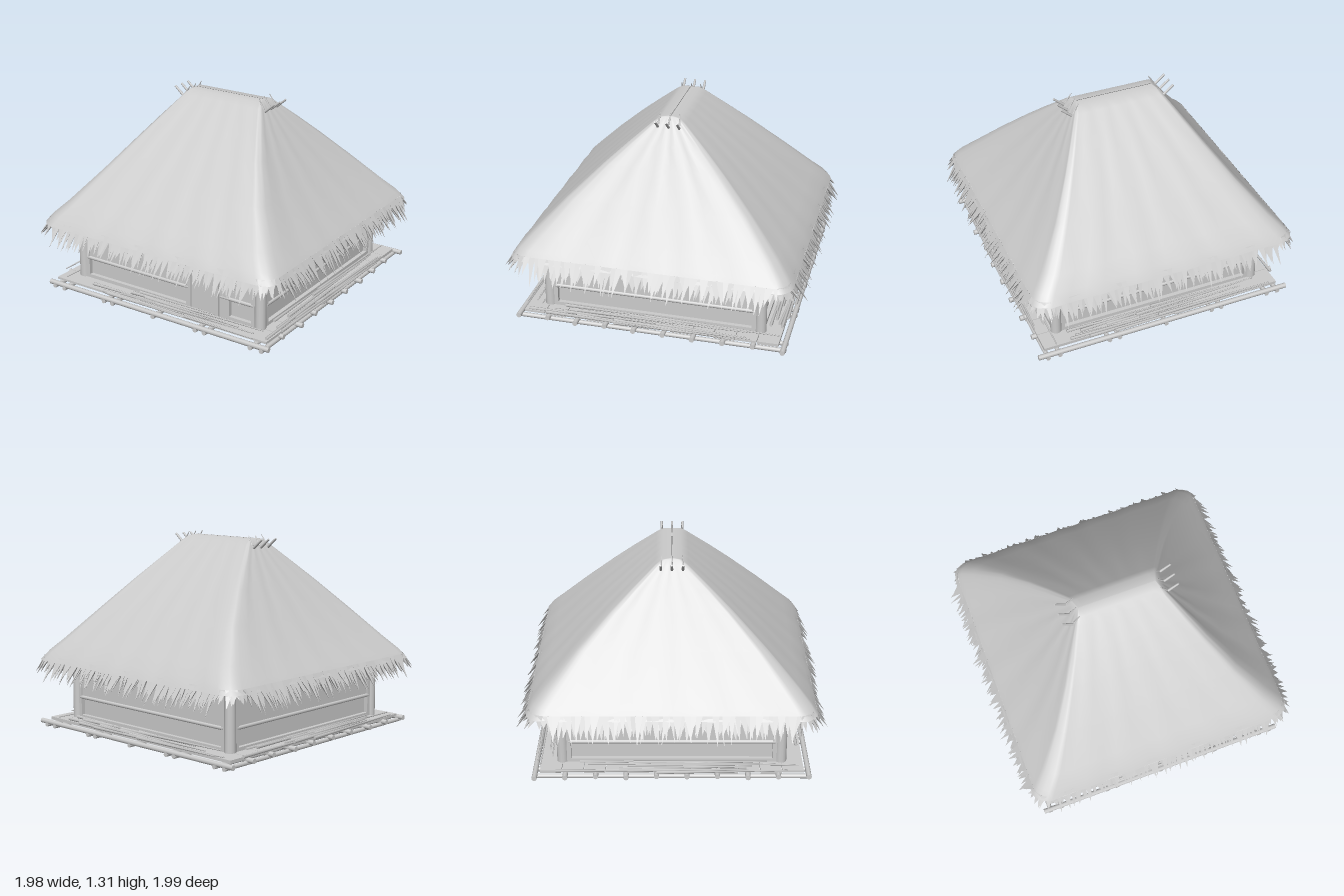
import * as THREE from 'three';

const material = new THREE.MeshStandardMaterial({ color: 0xcccccc, side: THREE.DoubleSide });
material.name = 'plain grey';

// Seeded random numbers in 0..1
let seed = 7;
function rand() {
  seed = (seed * 16807) % 2147483647;
  return seed / 2147483647;
}
const spread = (s) => (rand() - 0.5) * 2 * s;

function add(parent, name, geometry) {
  const mesh = new THREE.Mesh(geometry, material);
  mesh.name = name;
  parent.add(mesh);
  return mesh;
}

function box(parent, name, x0, x1, y0, y1, z0, z1) {
  const mesh = add(parent, name, new THREE.BoxGeometry(x1 - x0, y1 - y0, z1 - z0));
  mesh.position.set((x0 + x1) / 2, (y0 + y1) / 2, (z0 + z1) / 2);
  return mesh;
}

// Round pole between two points
function pole(parent, name, a, b, r, r2 = r, sides = 8) {
  const from = new THREE.Vector3(...a), to = new THREE.Vector3(...b);
  const dir = to.clone().sub(from);
  const mesh = add(parent, name, new THREE.CylinderGeometry(r2, r, dir.length(), sides));
  mesh.position.copy(from).add(to).multiplyScalar(0.5);
  mesh.quaternion.setFromUnitVectors(new THREE.Vector3(0, 1, 0), dir.normalize());
  return mesh;
}

// Rounded rectangle as points with outward normals
function ring(hx, hz, r, arc = 4, straight = 14) {
  const corners = [[1, 1], [-1, 1], [-1, -1], [1, -1]].map(([sx, sz], k) =>
    Array.from({ length: arc + 1 }, (_, j) => {
      const a = (k + j / arc) * Math.PI / 2;
      const nx = Math.cos(a), nz = Math.sin(a);
      return { x: sx * (hx - r) + nx * r, z: sz * (hz - r) + nz * r, nx, nz };
    }));
  const points = [];
  corners.forEach((corner, k) => {
    points.push(...corner);
    const a = corner[arc], b = corners[(k + 1) % 4][0];
    for (let j = 1; j < straight; j++) {
      const t = j / straight;
      points.push({ x: a.x + (b.x - a.x) * t, z: a.z + (b.z - a.z) * t, nx: a.nx, nz: a.nz });
    }
  });
  return points;
}

// Skin through rings given as [y, hx, hz, radius]
function loft(levels) {
  const positions = [], index = [];
  let n = 0;
  levels.forEach(([y, hx, hz, r], l) => {
    const pts = ring(hx, hz, r);
    n = pts.length;
    pts.forEach((p, i) => {
      const ripple = l > 2 ? 0.004 * Math.sin(i * 2.3 + l * 0.4) : 0;
      positions.push(p.x + p.nx * ripple, y, p.z + p.nz * ripple);
    });
    if (l === 0) return;
    for (let i = 0; i < n; i++) {
      const j = (i + 1) % n, a = (l - 1) * n, b = l * n;
      index.push(a + i, a + j, b + i, a + j, b + j, b + i);
    }
  });
  const geometry = new THREE.BufferGeometry();
  geometry.setAttribute('position', new THREE.Float32BufferAttribute(positions, 3));
  geometry.setIndex(index);
  geometry.computeVertexNormals();
  return geometry;
}

// Row of pointed straw tufts hanging from a ring; shorter at the corners
function fringe(y, h, radius, out, drop, width, thick) {
  const positions = [];
  const pts = ring(h, h, radius, 5, 46);
  for (const p of pts) {
    const atCorner = Math.min(Math.abs(p.x), Math.abs(p.z)) > h - 0.14;
    const len = (atCorner ? 0.55 : 0.85) + spread(0.2);
    const tx = -p.nz, tz = p.nx, w = width * (0.7 + 0.6 * rand());
    const lean = spread(width * 1.3), o = out * len + spread(0.012);
    const left = [p.x - tx * w, y, p.z - tz * w];
    const right = [p.x + tx * w, y, p.z + tz * w];
    const back = [p.x - p.nx * thick, y - 0.01, p.z - p.nz * thick];
    const tip = [p.x + p.nx * o + tx * lean, y - drop * len, p.z + p.nz * o + tz * lean];
    positions.push(...left, ...right, ...tip, ...right, ...back, ...tip, ...back, ...left, ...tip);
  }
  const geometry = new THREE.BufferGeometry();
  geometry.setAttribute('position', new THREE.Float32BufferAttribute(positions, 3));
  geometry.computeVertexNormals();
  return geometry;
}

function makeRoof() {
  const roof = new THREE.Group();
  roof.name = 'roof';
  add(roof, 'thatch', loft([
    [1.285, 0.26, 0.002, 0.001], [1.28, 0.28, 0.06, 0.01], [1.25, 0.305, 0.105, 0.02],
    [1.12, 0.395, 0.255, 0.03], [1.0, 0.48, 0.39, 0.04], [0.8, 0.625, 0.6, 0.06],
    [0.6, 0.785, 0.795, 0.09], [0.52, 0.86, 0.87, 0.1], [0.46, 0.905, 0.91, 0.11],
  ]));
  add(roof, 'thatch underside', loft([
    [0.46, 0.905, 0.91, 0.11], [0.47, 0.86, 0.86, 0.1], [0.56, 0.77, 0.77, 0.08], [0.66, 0.68, 0.68, 0.06],
  ]));
  // Eaves fringe in overlapping rows
  add(roof, 'outer fringe', fringe(0.49, 0.888, 0.11, 0.095, 0.155, 0.022, 0.03));
  add(roof, 'middle fringe', fringe(0.48, 0.885, 0.1, 0.075, 0.14, 0.026, 0.03));
  add(roof, 'inner fringe', fringe(0.5, 0.84, 0.1, 0.07, 0.11, 0.026, 0.02));
  add(roof, 'innermost fringe', fringe(0.58, 0.76, 0.08, 0.07, 0.1, 0.026, 0.02));

  // Crossed sticks at both ends of the ridge
  for (const s of [-1, 1]) {
    for (const z of [-0.07, 0, 0.07]) {
      pole(roof, 'ridge stick', [s * 0.3, 1.21, z], [s * 0.39, 1.285, z], 0.01, 0.007, 6);
      pole(roof, 'ridge twig', [s * 0.31, 1.24, z], [s * 0.27, 1.305, z * 0.9], 0.008, 0.002, 5);
    }
  }
  return roof;
}

function makeWalls() {
  const walls = new THREE.Group();
  walls.name = 'walls';
  box(walls, 'wall core', -0.695, 0.695, 0.06, 0.64, -0.695, 0.695);
  box(walls, 'upper wall', -0.715, 0.715, 0.21, 0.62, -0.715, 0.715);
  for (const x of [-0.7, 0.7]) {
    for (const z of [-0.7, 0.7]) pole(walls, 'corner post', [x, 0.05, z], [x, 0.6, z], 0.037, 0.035, 14);
  }
  // Rail, sill and side boards of each wall, turned to face outwards
  for (let k = 0; k < 4; k++) {
    const side = new THREE.Group();
    side.name = ['front wall', 'left wall', 'back wall', 'right wall'][k];
    side.rotation.y = k * Math.PI / 2;
    box(side, 'sill', -0.68, 0.68, 0.06, 0.085, 0.68, 0.722);
    pole(side, 'rail', [-0.66, 0.205, 0.712], [0.66, 0.205, 0.712], 0.013);
    for (const x of [-0.665, 0.665]) box(side, 'edge board', x - 0.02, x + 0.02, 0.06, 0.55, 0.68, 0.722);
    if (k === 0) {
      box(side, 'door surround', 0.15, 0.48, 0.06, 0.4, 0.68, 0.722);
      box(side, 'door', 0.2, 0.395, 0.075, 0.32, 0.7, 0.73);
      for (const x of [0.19, 0.4]) box(side, 'door post', x - 0.009, x + 0.009, 0.06, 0.33, 0.7, 0.74);
      box(side, 'door lintel', 0.175, 0.415, 0.32, 0.342, 0.7, 0.745);
    }
    walls.add(side);
  }
  return walls;
}

function makePlatform() {
  const platform = new THREE.Group();
  platform.name = 'platform';
  // Floor planks run from left to right
  for (let i = 0; i < 12; i++) {
    const z = -0.84 + i * 0.14;
    box(platform, 'floor plank', -0.83, 0.83, 0.042 + (i % 2) * 0.006, 0.062, z + 0.003, Math.min(z + 0.139, 0.84));
  }
  // Joists stick out at both sides
  for (let i = 0; i < 10; i++) {
    const z = -0.87 + i * 0.1933;
    pole(platform, 'joist', [-0.87 + spread(0.015), 0.034, z], [0.87 + spread(0.015), 0.034, z], 0.017);
  }
  // Bearers run from front to back
  for (const x of [-0.82, -0.74, -0.4, -0.33, 0, 0.33, 0.4, 0.74, 0.82]) {
    pole(platform, 'bearer', [x, 0.016, -0.885], [x, 0.016, 0.885], 0.015);
  }
  // Rough split sticks lying along each edge
  for (let k = 0; k < 4; k++) {
    const edge = new THREE.Group();
    edge.name = 'edge sticks';
    edge.rotation.y = k * Math.PI / 2;
    for (let i = 0; i < 14; i++) {
      const z = 0.74 + (i % 7) * 0.02, c = spread(0.4), half = 0.25 + rand() * 0.2;
      const y = 0.066 + rand() * 0.012;
      pole(edge, 'split stick', [c - half, y, z + spread(0.015)], [c + half, y + spread(0.008), z + spread(0.015)], 0.011, 0.004, 5);
    }
    platform.add(edge);
  }
  return platform;
}

export function createModel() {
  seed = 7;
  const hut = new THREE.Group();
  hut.name = 'thatched hut';
  hut.add(makePlatform(), makeWalls(), makeRoof());
  return hut;
}
